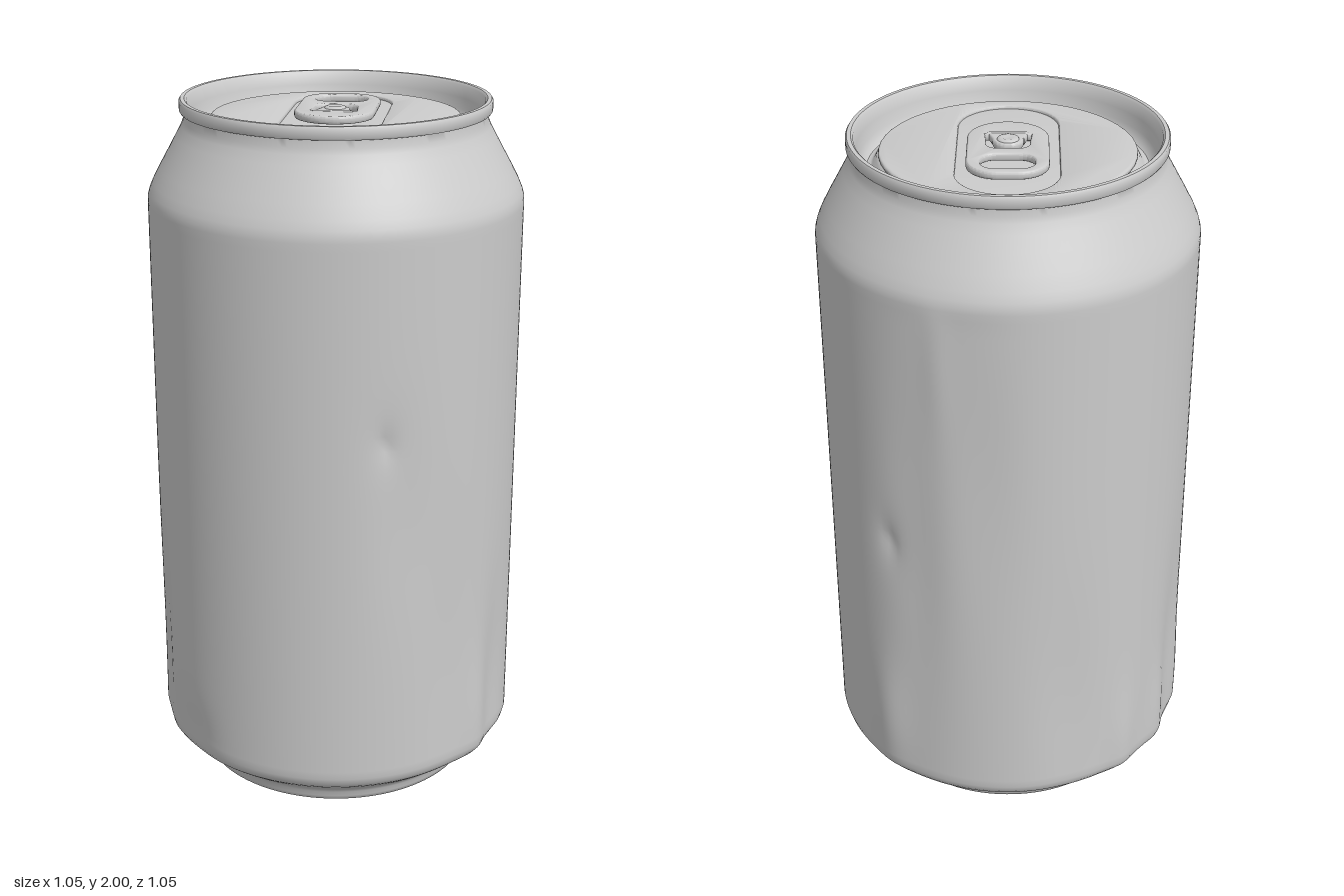
import * as THREE from 'three';
import { toCreasedNormals } from 'three/addons/utils/BufferGeometryUtils.js';

const RAD = Math.PI / 180;
const material = new THREE.MeshStandardMaterial({ color: 0xcccccc });

// Dents: angle from the front (degrees), height, half width (degrees), half height, inward depth
const DENTS = [
  [28, 0.95, 9, 0.28, 0.007], [44, 0.5, 9, 0.4, 0.008], [59, 0.2, 6, 0.22, -0.012],
  [70, 0.3, 8, 0.3, 0.014], [139, 0.3, 7, 0.2, -0.014], [152, 0.95, 9, 0.5, 0.012],
  [160, 1.55, 4, 0.2, -0.005], [172, 1.25, 11, 0.4, 0.01], [-160, 0.45, 10, 0.35, 0.01],
  [-139, 0.2, 5, 0.2, -0.013], [-120, 0.2, 5, 0.2, -0.012], [-110, 0.4, 8, 0.35, 0.012],
  [-100, 0.25, 5, 0.2, -0.007], [-70, 0.35, 8, 0.3, 0.012], [-46, 0.16, 10, 0.1, 0.01],
];
// Sharp pinches: same columns
const PINCHES = [[22.4, 1.16, 4, 0.07, 0.018], [141, 0.95, 4, 0.08, 0.02]];

function dentDepth(deg, y) {
  const dist = ([a, h, w, t]) => {
    const da = ((deg - a + 540) % 360) - 180;
    return Math.hypot(da / w, (y - h) / t);
  };
  let sum = 0;
  for (const d of DENTS) sum += d[4] * Math.exp(-(dist(d) ** 2));
  for (const p of PINCHES) sum += p[4] * Math.exp(-1.5 * dist(p));
  // Dents fade out at the base and shoulder
  return sum * THREE.MathUtils.smoothstep(y, 0.06, 0.15) * (1 - THREE.MathUtils.smoothstep(y, 1.66, 1.76));
}

function canBody() {
  const profile = [];
  // Domed underside
  for (let i = 0; i <= 12; i++) {
    const r = (0.365 * i) / 12;
    profile.push([r, 0.03 + 0.1 * (1 - (r / 0.365) ** 2)]);
  }
  // Standing ring and lower taper
  profile.push([0.378, 0.012], [0.388, 0.003], [0.398, 0], [0.406, 0.005], [0.411, 0.018], [0.413, 0.032],
    [0.42, 0.044], [0.435, 0.056], [0.465, 0.078], [0.495, 0.1], [0.511, 0.113], [0.521, 0.127]);
  // Straight wall
  for (let i = 0; i <= 68; i++) profile.push([0.526, 0.145 + (1.575 * i) / 68]);
  // Shoulder and neck
  profile.push([0.525, 1.735], [0.52, 1.752], [0.51, 1.775], [0.49, 1.813], [0.465, 1.858], [0.442, 1.9],
    [0.428, 1.926], [0.422, 1.942], [0.42, 1.964]);
  // Seamed rim
  profile.push([0.429, 1.965], [0.432, 1.97], [0.432, 1.994], [0.428, 2], [0.417, 2], [0.411, 1.994]);
  // Countersunk groove and recessed floor of the lid
  profile.push([0.405, 1.96], [0.398, 1.93], [0.39, 1.91], [0.38, 1.902], [0.37, 1.903], [0.362, 1.912],
    [0.352, 1.932], [0.344, 1.94], [0.33, 1.943], [0.15, 1.943], [0, 1.943]);

  const geometry = new THREE.LatheGeometry(profile.map(([r, y]) => new THREE.Vector2(r, y)), 180);
  const pos = geometry.attributes.position;
  for (let i = 0; i < pos.count; i++) {
    const x = pos.getX(i), y = pos.getY(i), z = pos.getZ(i);
    const r = Math.hypot(x, z);
    if (r < 0.43) continue;
    const k = 1 - dentDepth(Math.atan2(x, z) / RAD, y) / r;
    pos.setX(i, x * k);
    pos.setZ(i, z * k);
  }
  return toCreasedNormals(geometry, 0.75);
}

// Rounded rectangle between two heights, with separate corner radii for the far and near ends
function roundedRect(path, w, y0, y1, rTop, rBottom) {
  path.moveTo(w, y0 + rBottom);
  path.lineTo(w, y1 - rTop);
  path.absarc(w - rTop, y1 - rTop, rTop, 0, Math.PI / 2);
  path.absarc(-w + rTop, y1 - rTop, rTop, Math.PI / 2, Math.PI);
  path.lineTo(-w, y0 + rBottom);
  path.absarc(-w + rBottom, y0 + rBottom, rBottom, Math.PI, Math.PI * 1.5);
  path.absarc(w - rBottom, y0 + rBottom, rBottom, Math.PI * 1.5, Math.PI * 2);
  return path;
}

// Extrude a plan outline upward from height y, with rounded edges
function plate(shape, y, height, bevel, bevelSize) {
  const geometry = new THREE.ExtrudeGeometry(shape, {
    depth: height - 2 * bevel, bevelThickness: bevel, bevelSize, bevelOffset: -bevelSize,
    bevelSegments: 3, curveSegments: 24,
  });
  geometry.rotateX(-Math.PI / 2).translate(0, y + bevel, 0);
  return toCreasedNormals(geometry, 0.7);
}

export function createModel() {
  const group = new THREE.Group();
  const add = (name, geometry) => {
    const mesh = new THREE.Mesh(geometry, material);
    mesh.name = name;
    group.add(mesh);
    return mesh;
  };

  add('canBody', canBody());

  // Lid panel with a long oval recess
  const panel = new THREE.Shape().absarc(0, 0, 0.347, 0, Math.PI * 2);
  panel.holes.push(roundedRect(new THREE.Path(), 0.138, -0.302, 0.302, 0.137, 0.137));
  add('lidPanel', plate(panel, 1.936, 0.016, 0.006, 0.009));

  // Pull tab with a finger hole and an arched slot around the tongue
  const tab = roundedRect(new THREE.Shape(), 0.11, -0.143, 0.21, 0.085, 0.108);
  tab.holes.push(roundedRect(new THREE.Path(), 0.072, 0.085, 0.18, 0.042, 0.042));
  const slot = new THREE.Path();
  slot.moveTo(0.062, -0.05);
  slot.lineTo(0.058, 0.01);
  slot.absarc(0.026, 0.012, 0.032, 0, Math.PI / 2);
  slot.absarc(-0.026, 0.012, 0.032, Math.PI / 2, Math.PI);
  slot.lineTo(-0.062, -0.05);
  slot.lineTo(-0.052, -0.05);
  slot.lineTo(-0.044, -0.02);
  slot.absarc(0, -0.02, 0.042, Math.PI, 0, true);
  slot.lineTo(0.052, -0.05);
  tab.holes.push(slot);
  add('pullTab', plate(tab, 1.948, 0.022, 0.007, 0.006));

  // Rivet holding the tab
  const rivet = [[0.03, 0], [0.028, 0.004], [0.02, 0.007], [0.012, 0.005], [0, 0.004]];
  add('rivet', new THREE.LatheGeometry(rivet.map(([r, y]) => new THREE.Vector2(r, y)), 32))
    .position.set(0, 1.9695, 0.015);

  // Pressed crease across the tab nose
  const crease = add('tabCrease', new THREE.CapsuleGeometry(0.007, 0.1, 6, 16).rotateZ(Math.PI / 2));
  crease.scale.y = 0.4;
  crease.position.set(0, 1.969, 0.064);

  return group;
}
